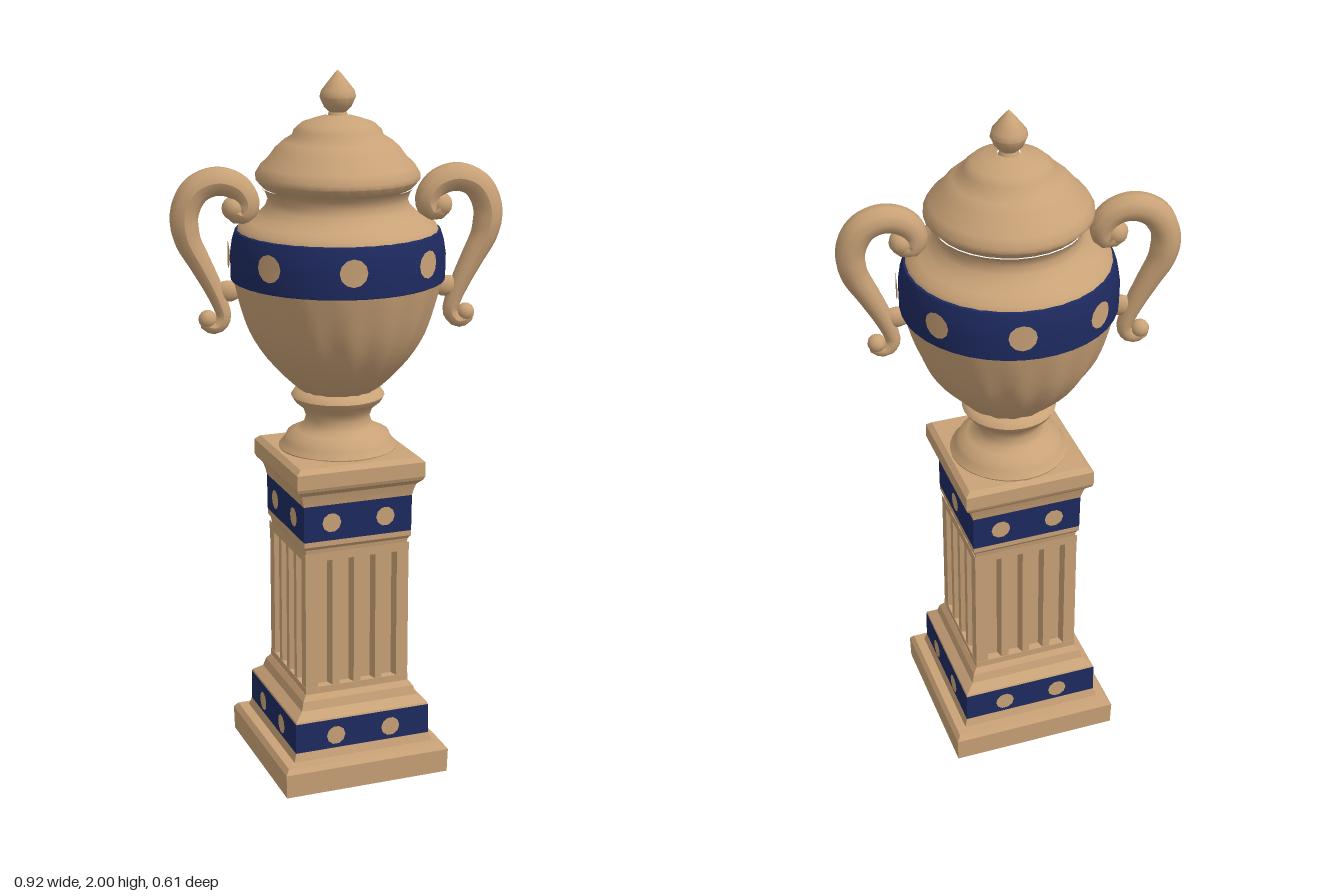
import * as THREE from 'three';
import { toCreasedNormals } from 'three/addons/utils/BufferGeometryUtils.js';

export function createModel() {
  const stone = new THREE.MeshStandardMaterial({ color: 0xc9a277 });
  stone.name = 'tan stone';
  const blue = new THREE.MeshStandardMaterial({ color: 0x1e2a60 });
  blue.name = 'navy blue';

  const model = new THREE.Group();
  model.name = 'urnOnPedestal';
  const pedestal = new THREE.Group();
  pedestal.name = 'pedestal';
  pedestal.rotation.y = 0.215;
  const urn = new THREE.Group();
  urn.name = 'urn';
  urn.position.z = -0.01;
  model.add(pedestal, urn);

  const add = (parent, name, geometry, material) => {
    const mesh = new THREE.Mesh(geometry, material);
    mesh.name = name;
    parent.add(mesh);
    return mesh;
  };
  const vectors = (profile) => profile.map(([r, y]) => new THREE.Vector2(r, y));

  // Square moulding: a profile of [half width, height] swept round four sides
  const square = (name, profile, material) => {
    const pts = vectors(profile.map(([h, y]) => [h * Math.SQRT2, y]));
    const g = new THREE.LatheGeometry(pts, 4, Math.PI / 4);
    return add(pedestal, name, toCreasedNormals(g, 0.3), material);
  };
  // Round part: a profile of [radius, height]
  const round = (name, profile, material, segments = 32) => {
    const g = new THREE.LatheGeometry(vectors(profile), segments);
    return add(urn, name, toCreasedNormals(g, 0.75), material);
  };

  // Pedestal mouldings
  square('base', [[0, 0], [0.245, 0], [0.247, 0.07], [0.236, 0.085], [0.21, 0.088], [0.203, 0.112], [0, 0.112]], stone);
  square('lowerBand', [[0.203, 0.112], [0.202, 0.2]], blue);
  square('lowerMoulding', [[0.202, 0.2], [0.2, 0.205], [0.175, 0.225], [0.168, 0.25], [0.157, 0.265], [0, 0.265]], stone);
  square('upperMoulding', [[0, 0.68], [0.15, 0.68], [0.153, 0.70], [0.16, 0.71], [0.16, 0.725]], stone);
  square('upperBand', [[0.16, 0.725], [0.161, 0.83]], blue);
  square('capital', [[0.161, 0.83], [0.164, 0.845], [0.17, 0.865], [0.185, 0.88], [0.189, 0.89], [0.189, 0.932], [0.175, 0.945], [0, 0.955]], stone);

  // Fluted shaft: square section with four grooves on every side
  const half = 0.155, depth = 0.024, section = new THREE.Shape();
  const outline = [];
  for (let s = 0; s < 4; s++) {
    const a = s * Math.PI / 2;
    const put = (u, v) => outline.push(new THREE.Vector2(u * Math.cos(a) - v * Math.sin(a), u * Math.sin(a) + v * Math.cos(a)));
    put(-half, -half);
    for (let i = 0; i < 4; i++) {
      const c = -0.0975 + i * 0.065;
      put(c - 0.022, -half);
      put(c - 0.015, -half + depth);
      put(c + 0.015, -half + depth);
      put(c + 0.022, -half);
    }
  }
  section.setFromPoints(outline);
  const shaft = new THREE.ExtrudeGeometry(section, { depth: 0.42, bevelEnabled: false });
  shaft.rotateX(-Math.PI / 2).translate(0, 0.262, 0);
  add(pedestal, 'flutedShaft', shaft, stone);

  // Plain strips closing the flutes at top and bottom
  square('shaftFoot', [[0.156, 0.262], [0.156, 0.285], [0.125, 0.285]], stone);
  square('shaftHead', [[0.125, 0.665], [0.156, 0.665], [0.156, 0.69]], stone);

  // Studs on the two square bands
  const stud = new THREE.CircleGeometry(0.028, 10);
  for (let s = 0; s < 4; s++) {
    const side = new THREE.Group();
    side.name = 'bandStuds';
    side.rotation.y = s * Math.PI / 2;
    pedestal.add(side);
    for (const u of [-0.083, 0.083]) add(side, 'lowerStud', stud, stone).position.set(u, 0.152, 0.206);
    for (const u of s === 1 ? [0] : [-0.08, 0.08]) add(side, 'upperStud', stud, stone).position.set(u, 0.778, 0.164);
  }

  // Urn foot and collar
  round('foot', [[0, 0.935], [0.165, 0.935], [0.168, 0.95], [0.152, 0.968], [0.145, 0.985], [0.118, 0.998], [0.098, 1.01],
    [0.09, 1.035], [0.098, 1.06], [0.122, 1.08], [0.132, 1.097], [0.122, 1.112], [0.09, 1.12]], stone);

  // Bowl with soft lobes that fade out towards the band
  const bowlProfile = new THREE.SplineCurve(vectors([[0.09, 1.105], [0.13, 1.135], [0.19, 1.2], [0.23, 1.26], [0.257, 1.32], [0.279, 1.39], [0.29, 1.432]]));
  const bowl = new THREE.LatheGeometry(bowlProfile.getPoints(14), 80);
  const p = bowl.attributes.position;
  for (let i = 0; i < p.count; i++) {
    const fade = Math.min(1, (1.432 - p.getY(i)) / 0.15);
    const k = 1 + 0.02 * fade * Math.cos(16 * Math.atan2(p.getX(i), p.getZ(i)));
    p.setX(i, p.getX(i) * k);
    p.setZ(i, p.getZ(i) * k);
  }
  add(urn, 'bowl', toCreasedNormals(bowl, 0.75), stone);

  // Blue belt and the shoulder above it
  round('belt', [[0.288, 1.43], [0.297, 1.434], [0.298, 1.5], [0.292, 1.54], [0.283, 1.568], [0.27, 1.572]], blue, 40);
  round('shoulder', [[0.278, 1.568], [0.272, 1.582], [0.245, 1.597], [0.22, 1.612], [0.2, 1.632], [0.192, 1.652], [0.2, 1.675], [0.21, 1.685]], stone);

  // Belt studs, bent to follow the belt
  const beltStud = new THREE.CircleGeometry(0.038, 12);
  const q = beltStud.attributes.position;
  for (let i = 0; i < q.count; i++) q.setZ(i, Math.sqrt(0.304 ** 2 - q.getX(i) ** 2));
  beltStud.translate(0, 1.505, 0);
  beltStud.computeVertexNormals();
  for (let i = 0; i < 8; i++) add(urn, 'beltStud', beltStud, stone).rotation.y = i * Math.PI / 4;

  // Lid with stepped dome
  round('lid', [[0.18, 1.675], [0.205, 1.685], [0.226, 1.708], [0.226, 1.722], [0.212, 1.745], [0.19, 1.765], [0.172, 1.79],
    [0.15, 1.81], [0.125, 1.825], [0.12, 1.84], [0.1, 1.858], [0.065, 1.87], [0.03, 1.88]], stone);
  round('finial', [[0.03, 1.872], [0.024, 1.888], [0.038, 1.902], [0.05, 1.928], [0.046, 1.945], [0.026, 1.97], [0.01, 1.99], [0, 2]], stone, 12);

  // Scrolled handles: a tapering tube, mirrored to the other side
  const path = new THREE.CatmullRomCurve3([
    [0.29, 1.63], [0.262, 1.612], [0.248, 1.645], [0.275, 1.688], [0.33, 1.705], [0.388, 1.682], [0.42, 1.62], [0.414, 1.55],
    [0.38, 1.48], [0.35, 1.42], [0.325, 1.36], [0.318, 1.325], [0.338, 1.3], [0.365, 1.308], [0.364, 1.332],
  ].map(([x, y]) => new THREE.Vector3(x, y, 0)));
  const steps = 60, sides = 10, knots = [0.03, 0.036, 0.04, 0.041, 0.04, 0.033, 0.027, 0.021, 0.019];
  const makeHandle = (mirror) => {
    const curve = new THREE.CatmullRomCurve3(path.points.map((v) => new THREE.Vector3(v.x * mirror, v.y, 0)));
    const g = new THREE.TubeGeometry(curve, steps, 1, sides);
    const pos = g.attributes.position, v = new THREE.Vector3();
    for (let i = 0; i < pos.count; i++) {
      const t = Math.floor(i / (sides + 1)) / steps;
      const k = Math.min(t * 8, 7.999), j = Math.floor(k);
      const radius = THREE.MathUtils.lerp(knots[j], knots[j + 1], k - j);
      const c = curve.getPointAt(t);
      v.fromBufferAttribute(pos, i).sub(c).multiplyScalar(radius).add(c);
      pos.setXYZ(i, v.x, v.y, v.z);
    }
    g.computeVertexNormals();
    return g;
  };
  for (const mirror of [1, -1]) {
    const handle = new THREE.Group();
    handle.name = mirror > 0 ? 'leftHandle' : 'rightHandle';
    handle.position.z = mirror > 0 ? 0.025 : 0;
    handle.rotation.y = mirror > 0 ? 0.06 : -0.02;
    urn.add(handle);
    add(handle, 'handleScroll', makeHandle(mirror), stone);
    // Rounded ends of the scroll
    const ball = new THREE.SphereGeometry(1, 12, 8);
    const top = add(handle, 'upperScrollEnd', ball, stone);
    top.position.set(mirror * 0.285, 1.63, 0);
    top.scale.setScalar(0.034);
    const end = add(handle, 'lowerScrollEnd', ball, stone);
    end.position.set(mirror * 0.362, 1.322, 0);
    end.scale.setScalar(0.026);
    // Short bridge where the lower scroll meets the bowl
    const bridge = add(handle, 'handleBridge', ball, stone);
    bridge.position.set(mirror * 0.305, 1.4, 0);
    bridge.scale.set(0.04, 0.03, 0.02);
  }

  return model;
}
